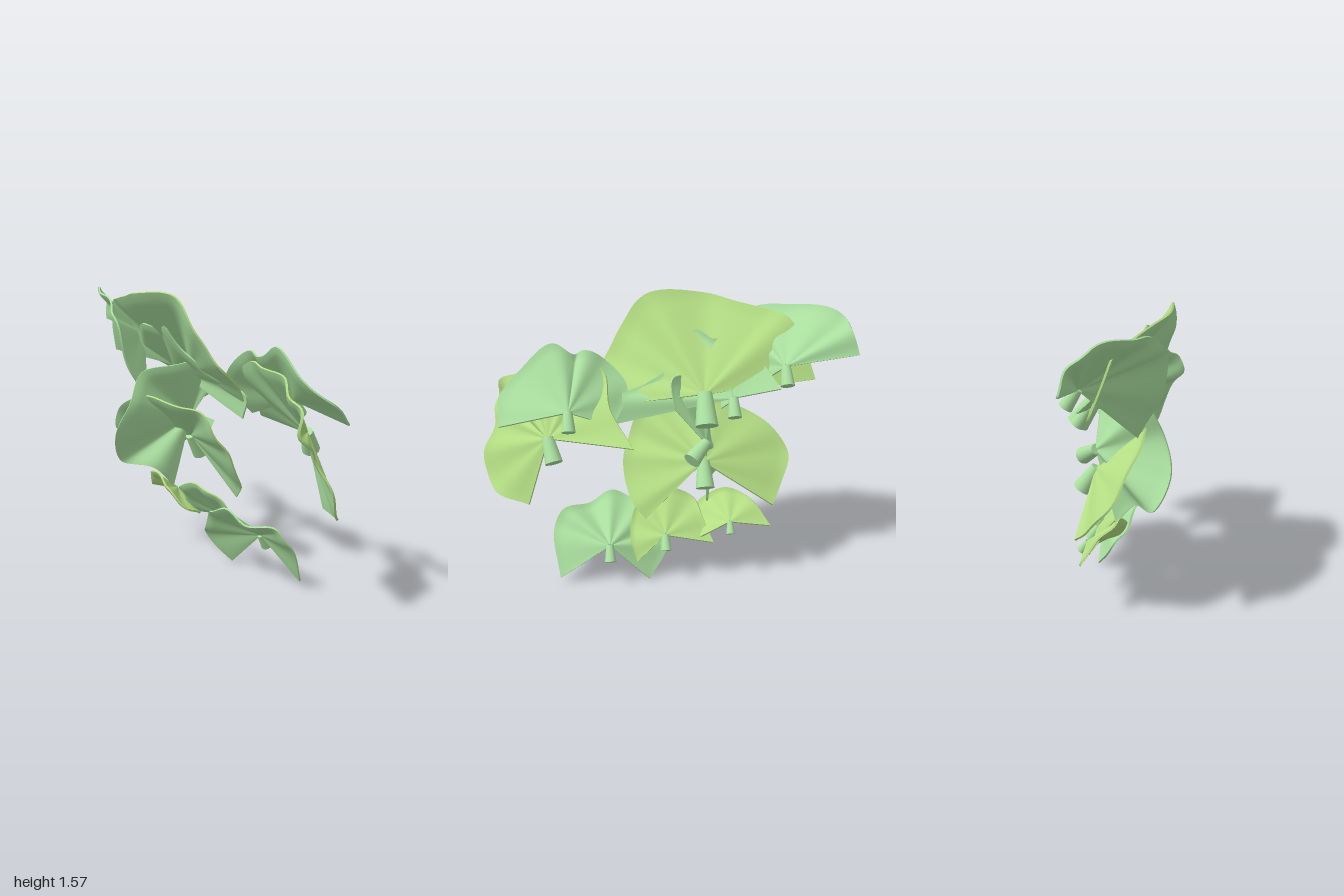
import * as THREE from 'three';

const mint = new THREE.MeshStandardMaterial({ color: 0xaadf9f });
mint.name = 'mintGreen';
const lime = new THREE.MeshStandardMaterial({ color: 0xb4de84 });
lime.name = 'limeGreen';

const V = (p) => new THREE.Vector3(...p);
const SEG = 72, RINGS = 14, HALF = 0.005;

// Grid of points fanning from the apex to a curved rim, with radial pleats
function fanGrid(apex, rim, folds, amp) {
  const curve = new THREE.CatmullRomCurve3(rim.map(V), false, 'centripetal');
  const a = V(apex), mid = curve.getPoint(0.5).sub(a);
  const side = V(rim[rim.length - 1]).sub(V(rim[0]));
  const facing = side.cross(mid).normalize();
  const pts = [], idx = [];
  for (let i = 0; i <= SEG; i++) {
    const t = i / SEG, edge = curve.getPoint(t);
    const fade = Math.sin(Math.PI * t) ** 0.5;
    for (let j = 0; j <= RINGS; j++) {
      const r = 0.03 + 0.97 * j / RINGS;
      const pleat = amp * fade * Math.sin(2 * Math.PI * folds * t + 0.6) * r * (1.3 - 0.5 * r);
      const lip = -0.012 * Math.max(0, (r - 0.88) / 0.12) ** 2;
      const p = a.clone().lerp(edge, r).addScaledVector(facing, pleat + lip * fade);
      pts.push(p.x, p.y, p.z);
    }
  }
  const n = RINGS + 1;
  for (let i = 0; i < SEG; i++) for (let j = 0; j < RINGS; j++) {
    const k = i * n + j;
    idx.push(k, k + n, k + 1, k + 1, k + n, k + n + 1);
  }
  const g = new THREE.BufferGeometry();
  g.setAttribute('position', new THREE.Float32BufferAttribute(pts, 3));
  g.setIndex(idx);
  g.computeVertexNormals();
  return g;
}

// One face of the blade, pushed out along its normals
function face(grid, dir) {
  const g = grid.clone(), p = g.attributes.position, n = grid.attributes.normal;
  for (let i = 0; i < p.count; i++) {
    p.setXYZ(i, p.getX(i) + dir * HALF * n.getX(i), p.getY(i) + dir * HALF * n.getY(i), p.getZ(i) + dir * HALF * n.getZ(i));
  }
  if (dir < 0) g.setIndex(Array.from(grid.index.array).reverse());
  g.computeVertexNormals();
  return g;
}

// Thin strip closing the blade around its outline
function border(front, back) {
  const n = RINGS + 1, loop = [];
  for (let j = 0; j < RINGS; j++) loop.push(j);
  for (let i = 0; i < SEG; i++) loop.push(i * n + RINGS);
  for (let j = RINGS; j > 0; j--) loop.push(SEG * n + j);
  for (let i = SEG; i > 0; i--) loop.push(i * n);
  const pts = [], idx = [], f = front.attributes.position, b = back.attributes.position;
  loop.forEach((k, i) => {
    pts.push(f.getX(k), f.getY(k), f.getZ(k), b.getX(k), b.getY(k), b.getZ(k));
    const c = 2 * i, d = 2 * ((i + 1) % loop.length);
    idx.push(c, d, c + 1, c + 1, d, d + 1);
  });
  const g = new THREE.BufferGeometry();
  g.setAttribute('position', new THREE.Float32BufferAttribute(pts, 3));
  g.setIndex(idx);
  g.computeVertexNormals();
  return g;
}

// Tapered stalk, narrow where it meets the blade
function stalk(apex, dir, len) {
  const d = V(dir).normalize();
  const m = new THREE.Mesh(new THREE.CylinderGeometry(len * 0.22, len * 0.34, len, 20), mint);
  m.name = 'stalk';
  m.quaternion.setFromUnitVectors(new THREE.Vector3(0, -1, 0), d);
  m.position.copy(V(apex)).addScaledVector(d, len * 0.45);
  return m;
}

function fan(root, name, o) {
  const group = new THREE.Group();
  group.name = name;
  const grid = fanGrid(o.apex, o.rim, o.folds, o.amp);
  const front = face(grid, 1), back = face(grid, -1);
  const add = (g, m, label) => {
    const mesh = new THREE.Mesh(g, m);
    mesh.name = label;
    group.add(mesh);
  };
  add(front, o.front ?? mint, 'underside');
  add(back, o.back, 'upperSide');
  add(border(front, back), o.back, 'bladeEdge');
  group.add(stalk(o.apex, o.dir ?? [0, -0.82, -0.56], o.stem));
  root.add(group);
}

export function createModel() {
  const root = new THREE.Group();
  root.name = 'fanCluster';

  // Upper group
  fan(root, 'largeTopFan', {
    apex: [-0.2, 1.1, -0.13], back: lime, stem: 0.18, folds: 5, amp: 0.012,
    rim: [[-0.8, 1.15, -0.09], [-0.74, 1.34, -0.01], [-0.66, 1.46, 0.05], [-0.55, 1.49, 0.11], [-0.4, 1.51, 0.19],
      [-0.25, 1.55, 0.25], [0, 1.56, 0.27], [0.12, 1.51, 0.27], [0.21, 1.38, 0.26], [0.27, 1.27, 0.23],
      [0.32, 1.2, 0.18], [0.33, 1.1, 0.08], [0.3, 1.01, -0.01]],
  });
  fan(root, 'upperOuterFan', {
    apex: [-0.62, 1.25, -0.16], back: mint, stem: 0.11, folds: 5, amp: 0.012,
    rim: [[-1, 1.31, -0.19], [-0.97, 1.42, -0.15], [-0.92, 1.5, -0.05], [-0.7, 1.51, 0.11], [-0.5, 1.46, 0.21],
      [-0.4, 1.37, 0.26], [-0.35, 1.12, 0.21], [-0.33, 0.93, 0.1]],
  });
  fan(root, 'upperInnerFan', {
    apex: [-0.35, 1.08, -0.15], back: mint, stem: 0.11, folds: 4, amp: 0.006,
    rim: [[-0.6, 1.13, -0.17], [-0.5, 1.26, -0.02], [-0.37, 1.36, 0.09], [-0.27, 1.34, 0.07], [-0.18, 1.38, 0.12],
      [-0.09, 1.23, 0.06], [0.1, 1.12, 0.01], [0.31, 1.03, -0.01], [0.28, 0.91, -0.03]],
  });

  // Middle group
  fan(root, 'uprightFan', {
    apex: [-0.21, 0.82, -0.13], back: mint, stem: 0.14, dir: [0.6, -0.45, -0.55], folds: 3, amp: 0.008,
    rim: [[-0.24, 0.42, -0.02], [-0.28, 0.54, 0.09], [-0.43, 0.57, 0.2], [-0.39, 0.75, 0.28],
      [-0.3, 0.94, 0.24], [-0.3, 1.1, 0.15], [-0.15, 1.15, 0.04], [-0.02, 1.17, -0.08], [-0.04, 1.02, -0.12]],
  });
  fan(root, 'middleFan', {
    apex: [-0.2, 0.71, -0.13], back: lime, stem: 0.15, folds: 6, amp: 0.015,
    rim: [[-0.58, 0.46, -0.19], [-0.64, 0.54, -0.1], [-0.7, 0.68, 0], [-0.62, 0.8, 0.08], [-0.45, 0.92, 0.13], [-0.25, 0.96, 0.16],
      [0, 0.95, 0.15], [0.14, 0.9, 0.12], [0.2, 0.77, 0.07], [0.23, 0.65, 0], [0.19, 0.48, -0.12], [0.12, 0.4, -0.17]],
  });

  // Side group
  fan(root, 'sideBackFan', {
    apex: [0.52, 1.03, -0.15], back: mint, stem: 0.11, folds: 5, amp: 0.014,
    rim: [[0.28, 0.93, -0.11], [0.2, 1.09, 0.02], [0.31, 1.24, 0.07], [0.43, 1.29, 0.08], [0.49, 1.27, 0.08], [0.59, 1.34, 0.08],
      [0.74, 1.21, 0.11], [0.88, 1.08, 0], [0.88, 0.96, -0.14]],
  });
  fan(root, 'sideFrontFan', {
    apex: [0.63, 0.88, -0.13], back: lime, stem: 0.14, dir: [-0.2, -0.8, -0.54], folds: 7, amp: 0.02,
    rim: [[0.19, 0.87, -0.29], [0.29, 1.02, -0.12], [0.33, 1.2, 0.04], [0.46, 1.24, 0.09], [0.65, 1.21, 0.15],
      [0.78, 1.14, 0.21], [0.89, 1.06, 0.28], [0.91, 0.95, 0.28], [0.93, 0.85, 0.19], [0.99, 0.67, 0.15],
      [0.94, 0.52, 0.02], [0.75, 0.5, -0.13]],
  });

  // Lower group
  fan(root, 'lowerSideFan', {
    apex: [0.32, 0.23, -0.15], back: mint, stem: 0.095, folds: 5, amp: 0.016,
    rim: [[0.1, 0.01, -0.16], [-0.01, 0.17, -0.05], [0.06, 0.26, 0.02], [0.14, 0.37, 0.08], [0.28, 0.43, 0.13],
      [0.42, 0.38, 0.1], [0.58, 0.36, 0.04], [0.63, 0.27, -0.02], [0.6, 0.04, -0.15]],
  });
  fan(root, 'lowerCentreFan', {
    apex: [0.01, 0.28, -0.15], back: lime, stem: 0.09, folds: 4, amp: 0.012,
    rim: [[-0.26, 0.23, -0.17], [-0.21, 0.34, -0.08], [-0.16, 0.44, 0], [-0.02, 0.48, 0.04], [0.1, 0.46, 0.03],
      [0.18, 0.36, -0.02], [0.2, 0.25, -0.1], [0.17, 0.13, -0.17]],
  });
  fan(root, 'lowerSmallFan', {
    apex: [-0.35, 0.35, -0.16], back: lime, front: lime, stem: 0.07, folds: 4, amp: 0.01,
    rim: [[-0.58, 0.32, -0.17], [-0.5, 0.42, -0.08], [-0.4, 0.47, 0], [-0.28, 0.45, 0.03], [-0.2, 0.38, 0.04],
      [-0.12, 0.29, -0.03], [-0.15, 0.24, -0.15]],
  });
  return root;
}
